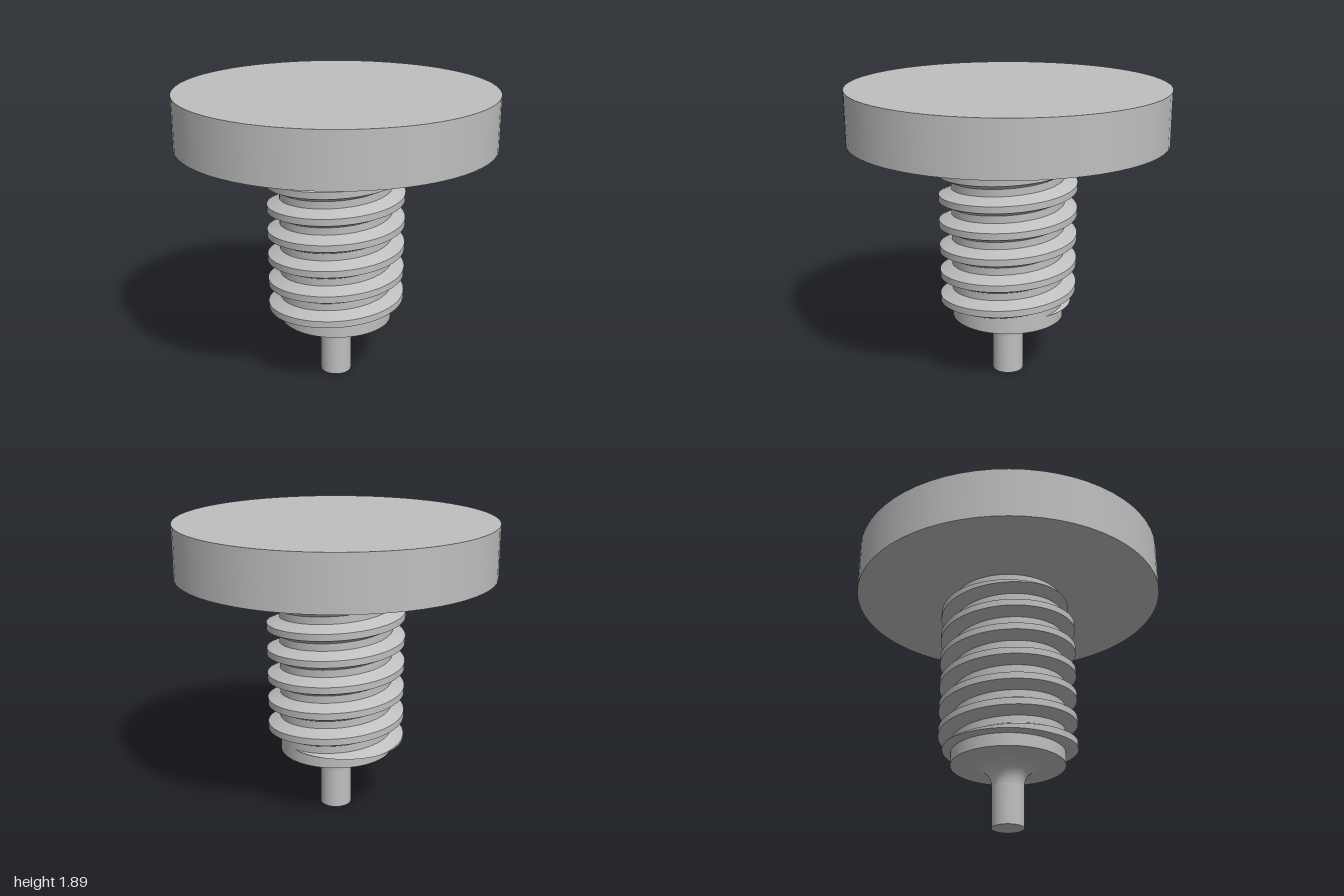
import * as THREE from 'three';

const SEGMENTS = 64;
const SHAFT_R = 0.36, CREST_R = 0.44;
const THREAD_BOTTOM = 0.475, THREAD_TOP = 1.475, PITCH = 1 / 6;
const CREST_HALF = 0.0215, ROOT_HALF = 0.06;

const clamp = THREE.MathUtils.clamp;

// Trapezoid thread section centred at height yc, cut flat at both thread ends
function threadSection(yc) {
  const cut = (d) => clamp(yc + d, THREAD_BOTTOM, THREAD_TOP);
  const point = (d) => {
    const y = cut(d);
    const t = clamp((ROOT_HALF - Math.abs(y - yc)) / (ROOT_HALF - CREST_HALF), 0, 1);
    return [SHAFT_R + (CREST_R - SHAFT_R) * t, y];
  };
  return [
    [SHAFT_R, cut(-ROOT_HALF)],
    point(-ROOT_HALF), point(-CREST_HALF), point(CREST_HALF), point(ROOT_HALF),
    [SHAFT_R, cut(ROOT_HALF)],
  ];
}

// Right-hand helical thread; each face strip has its own vertices for crisp edges
function threadGeometry() {
  const start = THREAD_BOTTOM - ROOT_HALF, end = THREAD_TOP + ROOT_HALF;
  const steps = Math.round(((end - start) / PITCH) * SEGMENTS);
  const positions = [], index = [];
  for (let j = 0; j < 5; j++) {
    const base = positions.length / 3;
    for (let i = 0; i <= steps; i++) {
      const yc = start + ((end - start) * i) / steps;
      const angle = Math.PI / 2 + ((yc - 1.39) / PITCH) * Math.PI * 2;
      const section = threadSection(yc);
      for (const [r, y] of [section[j], section[j + 1]]) {
        positions.push(r * Math.sin(angle), y, r * Math.cos(angle));
      }
      if (i < steps) {
        const a = base + i * 2;
        index.push(a, a + 2, a + 3, a, a + 3, a + 1);
      }
    }
  }
  const geometry = new THREE.BufferGeometry();
  geometry.setAttribute('position', new THREE.Float32BufferAttribute(positions, 3));
  geometry.setIndex(index);
  geometry.computeVertexNormals();
  return geometry;
}

export function createModel() {
  const group = new THREE.Group();
  const metal = new THREE.MeshStandardMaterial({ color: 0xbfbfbf });
  metal.name = 'greyMetal';

  const add = (name, geometry) => {
    const mesh = new THREE.Mesh(geometry, metal);
    mesh.name = name;
    group.add(mesh);
  };
  const cylinder = (name, radius, bottom, top) => add(name,
    new THREE.CylinderGeometry(radius, radius, top - bottom, SEGMENTS)
      .translate(0, (bottom + top) / 2, 0));

  // Wide head, threaded shaft and tip pin
  cylinder('head', 1, 1.56, 1.893);
  cylinder('shaft', SHAFT_R, 0.395, 1.56);
  cylinder('tipPin', 0.1, 0, 0.26);
  add('thread', threadGeometry());

  // Fillet blending the pin into the shaft's underside
  const arc = [];
  for (let i = 0; i <= 12; i++) {
    const t = (i / 12) * Math.PI / 2;
    arc.push(new THREE.Vector2(0.235 - 0.135 * Math.cos(t), 0.26 + 0.135 * Math.sin(t)));
  }
  add('tipFillet', new THREE.LatheGeometry(arc, SEGMENTS));

  return group;
}
